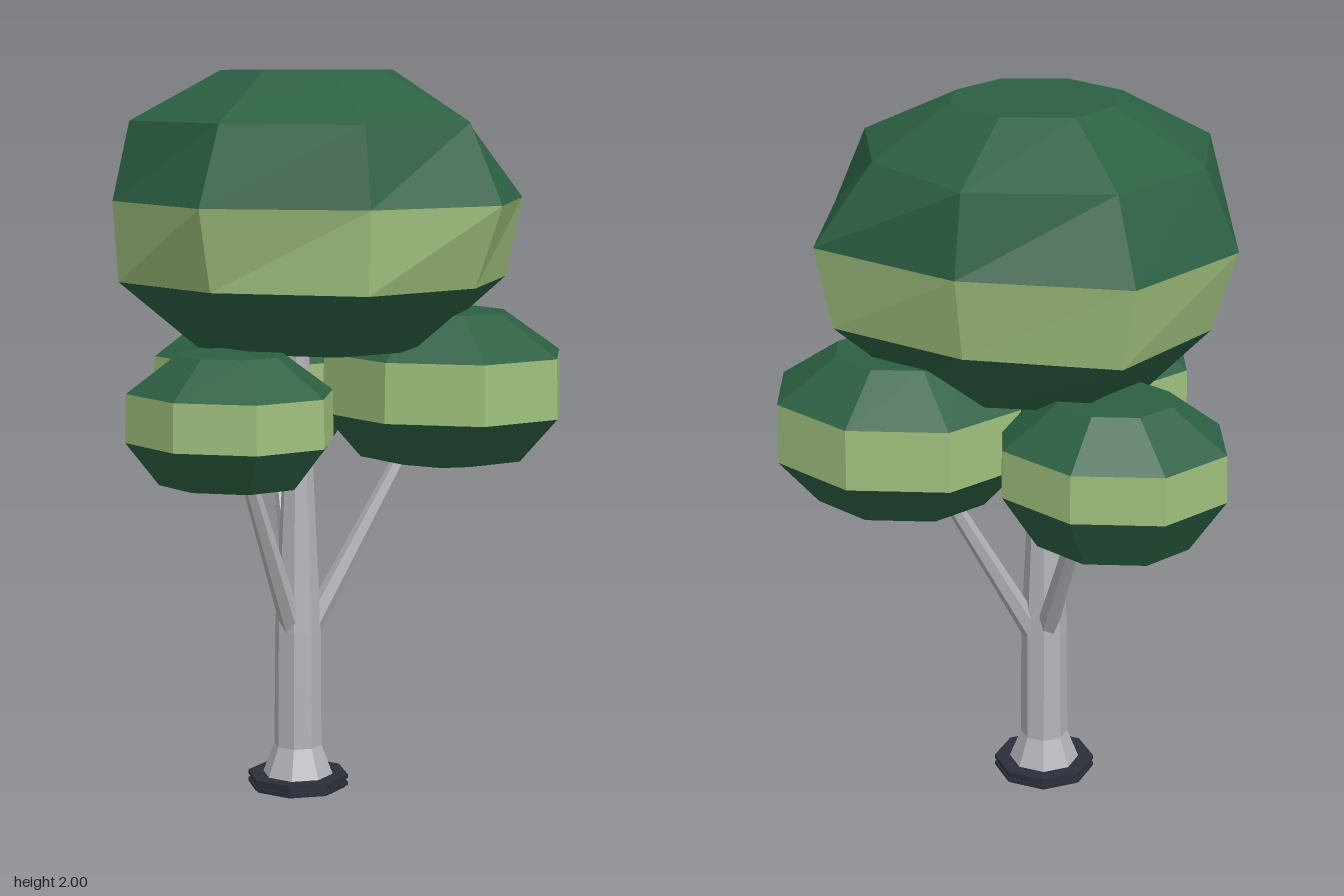
import * as THREE from 'three';

const mat = (name, color) => {
  const m = new THREE.MeshStandardMaterial({ color });
  m.name = name;
  return m;
};

export function createModel() {
  const darkLeaf = mat('dark leaf green', 0x2c6043);
  const lightLeaf = mat('light leaf green', 0x9fc07d);
  const bark = mat('pale grey bark', 0xb2b4b8);
  const slate = mat('dark slate', 0x2b2e3b);
  const tree = new THREE.Group();
  tree.name = 'tree';

  const addMesh = (parent, name, geometry, material) => {
    const g = geometry.index ? geometry.toNonIndexed() : geometry;
    g.computeVertexNormals(); // separate corners give flat facets
    const mesh = new THREE.Mesh(g, material);
    mesh.name = name;
    parent.add(mesh);
    return mesh;
  };

  // Faceted skin through a stack of rings (bottom to top), with optional end caps
  const skin = (rings, bottom, top) => {
    const pos = [];
    const tri = (...pts) => pts.forEach((p) => pos.push(p.x, p.y, p.z));
    const n = rings[0].length;
    for (let i = 0; i < n; i++) {
      const j = (i + 1) % n;
      for (let k = 0; k + 1 < rings.length; k++) {
        const a = rings[k], b = rings[k + 1];
        tri(a[i], a[j], b[j]);
        tri(a[i], b[j], b[i]);
      }
      const last = rings[rings.length - 1];
      if (bottom) tri(bottom, rings[0][j], rings[0][i]);
      if (top) tri(top, last[i], last[j]);
    }
    const g = new THREE.BufferGeometry();
    g.setAttribute('position', new THREE.Float32BufferAttribute(pos, 3));
    return g;
  };

  // A crown has five rings; the light band lies between the second and third
  const addCrown = (name, rings, bottom, top) => {
    const crown = new THREE.Group();
    crown.name = name;
    addMesh(crown, 'underside', skin(rings.slice(0, 2), bottom, null), darkLeaf);
    addMesh(crown, 'lightBand', skin(rings.slice(1, 3), null, null), lightLeaf);
    addMesh(crown, 'cap', skin(rings.slice(2), null, top), darkLeaf);
    tree.add(crown);
  };
  const V = (x, y, z) => new THREE.Vector3(x, y, z);
  const outline = (y, pts) => pts.map(([x, z]) => V(x, y, z));

  // Main crown, each ring starting at the front and turning towards +x
  addCrown('mainCrown', [
    outline(1.25, [[-0.01, 0.25], [0.22, 0.18], [0.32, -0.04], [0.24, -0.29], [-0.01, -0.36], [-0.25, -0.29], [-0.34, -0.04], [-0.23, 0.18]]),
    outline(1.43, [[-0.01, 0.44], [0.39, 0.31], [0.51, -0.04], [0.40, -0.42], [-0.01, -0.5], [-0.41, -0.41], [-0.51, -0.04], [-0.40, 0.31]]),
    outline(1.65, [[-0.01, 0.49], [0.40, 0.315], [0.585, -0.045], [0.44, -0.44], [-0.01, -0.54], [-0.45, -0.43], [-0.58, -0.04], [-0.41, 0.32]]),
    outline(1.865, [[-0.01, 0.395], [0.36, 0.28], [0.49, -0.04], [0.32, -0.33], [-0.01, -0.5], [-0.37, -0.355], [-0.485, -0.04], [-0.38, 0.28]]),
    outline(2, [[-0.01, 0.18], [0.155, 0.105], [0.21, -0.045], [0.165, -0.195], [-0.01, -0.265], [-0.19, -0.195], [-0.235, -0.045], [-0.19, 0.12]]),
  ], V(-0.01, 1.235, -0.05), V(-0.01, 2, -0.045));

  // Three small crowns around the trunk
  const smallCrown = (name, x, z, rx, rz, heights) => {
    const scales = [0.67, 0.98, 1, 0.97, 0.5];
    scales.splice(2, 1); // four rings: underside, band bottom, band top, cap
    const rings = scales.map((s, k) =>
      Array.from({ length: 8 }, (_, i) => {
        const a = (i * Math.PI) / 4;
        return V(x + Math.sin(a) * rx * s, heights[k + 1], z + Math.cos(a) * rz * s);
      }));
    addCrown(name, rings, V(x, heights[0], z), V(x, heights[4], z));
  };
  smallCrown('frontCrown', -0.02, 0.335, 0.3, 0.268, [0.885, 0.915, 1.03, 1.16, 1.26]);
  smallCrown('backRightCrown', -0.325, -0.26, 0.325, 0.29, [0.855, 0.9, 1.05, 1.18, 1.29]);
  smallCrown('backLeftCrown', 0.28, -0.28, 0.365, 0.325, [0.895, 0.935, 1.06, 1.225, 1.34]);

  // Trunk: flared foot, straight stem, tapering top
  const cx = -0.02;
  const profile = [[0.1, 0.035], [0.067, 0.12], [0.065, 0.45], [0.037, 1.03], [0.03, 1.3]];
  const trunk = addMesh(tree, 'trunk', new THREE.LatheGeometry(
    profile.map(([r, y]) => new THREE.Vector2(r, y)), 8, Math.PI / 8), bark);
  trunk.position.x = cx;

  // Base plate with a slightly inset middle
  [[0.143, 0.006, 0.015], [0.137, 0.015, 0.027], [0.143, 0.027, 0.037], [0.135, 0, 0.006]].forEach(([r, y0, y1]) => {
    const plate = addMesh(tree, 'basePlate',
      new THREE.CylinderGeometry(r, r, y1 - y0, 8, 1, false, Math.PI / 8), slate);
    plate.position.set(cx, (y0 + y1) / 2, 0);
  });

  // Branches reaching into the small crowns
  const branch = (name, from, to) => {
    const dir = to.clone().sub(from);
    const mesh = addMesh(tree, name, new THREE.CylinderGeometry(0.019, 0.032, dir.length(), 6), bark);
    mesh.position.copy(from).addScaledVector(dir, 0.5);
    mesh.quaternion.setFromUnitVectors(V(0, 1, 0), dir.normalize());
  };
  branch('frontBranch', V(cx, 0.45, 0.025), V(cx, 1, 0.29));
  branch('backRightBranch', V(-0.04, 0.47, -0.025), V(-0.25, 1, -0.24));
  branch('backLeftBranch', V(0.005, 0.45, -0.025), V(0.21, 1, -0.25));

  return tree;
}
